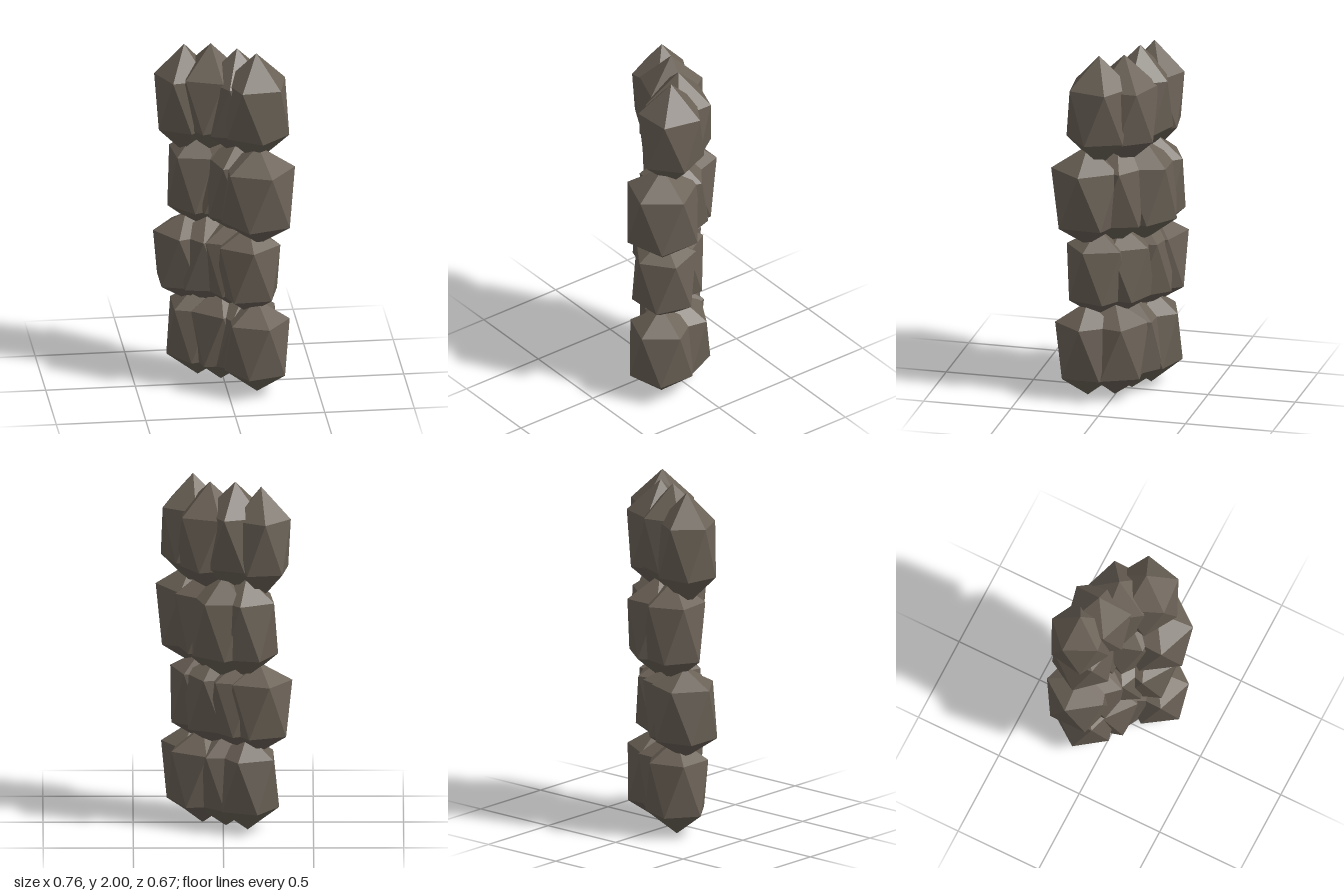
import * as THREE from 'three';

// Faceted twenty-sided stone: two five-point rings between a top and a bottom point
function stoneGeometry(radius, turn, [bottom, low, high, top]) {
  const points = [0, top, 0];
  for (const [y, shift] of [[high, 0], [low, 36]]) {
    for (let i = 0; i < 5; i++) {
      const a = THREE.MathUtils.degToRad(turn + shift + i * 72);
      points.push(radius * Math.cos(a), y, radius * Math.sin(a));
    }
  }
  points.push(0, bottom, 0);

  const faces = [];
  for (let i = 0; i < 5; i++) {
    const n = (i + 1) % 5;
    const u = 1 + i, un = 1 + n, l = 6 + i, ln = 6 + n;
    faces.push(0, un, u, u, un, l, l, un, ln, 11, l, ln);
  }
  const g = new THREE.BufferGeometry();
  g.setAttribute('position', new THREE.Float32BufferAttribute(points, 3));
  g.setIndex(faces);
  const flat = g.toNonIndexed();
  flat.computeVertexNormals();
  return flat;
}

// Courses from the ground up: heights of the points and rings, then stones as [x, z, radius, turn]
const courses = [
  { heights: [0, 0.13, 0.43, 0.55],
    stones: [[-0.135, -0.14, 0.175, 0], [-0.015, -0.06, 0.18, 20], [0.115, 0.005, 0.19, -25], [0.163, 0.146, 0.182, 2]] },
  { heights: [0.45, 0.57, 0.87, 0.97],
    stones: [[-0.2, -0.15, 0.183, 36], [-0.09, -0.1, 0.18, 30], [0.04, -0.02, 0.18, 5], [0.122, 0.097, 0.178, 15]] },
  { heights: [0.88, 1.02, 1.34, 1.47],
    stones: [[-0.13, -0.16, 0.175, -6], [-0.005, -0.135, 0.185, 18], [0.085, 0, 0.19, -18], [0.17, 0.143, 0.205, 2]] },
  { heights: [1.35, 1.52, 1.82, 2],
    stones: [[-0.21, -0.14, 0.167, 46], [-0.067, -0.095, 0.183, 2], [0.073, -0.04, 0.19, 37], [0.167, 0.08, 0.184, -23]] },
];

export function createModel() {
  const group = new THREE.Group();
  group.name = 'stonePillar';
  const stoneMaterial = new THREE.MeshStandardMaterial({ color: 0x6b6257 });
  stoneMaterial.name = 'brownGreyStone';

  courses.forEach(({ heights, stones }, row) => {
    const course = new THREE.Group();
    course.name = `stoneCourse${row + 1}`;
    stones.forEach(([x, z, radius, turn], i) => {
      const stone = new THREE.Mesh(stoneGeometry(radius, turn, heights), stoneMaterial);
      stone.name = `stone${i + 1}`;
      // Every other stone of the top course sits slightly lower
      stone.position.set(x, row === 3 && i % 2 === 0 ? -0.015 : 0, z);
      course.add(stone);
    });
    group.add(course);
  });
  return group;
}
